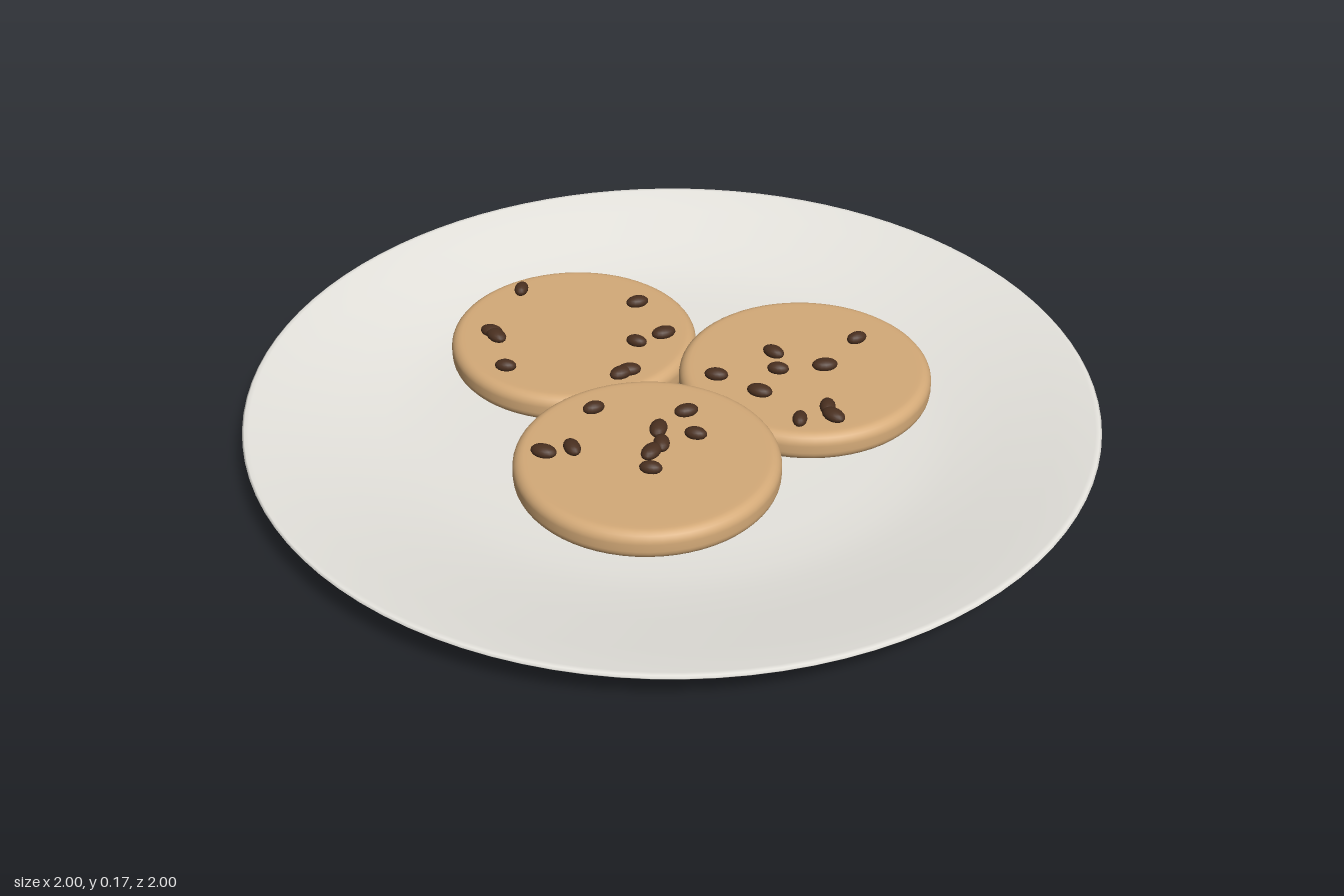
import * as THREE from 'three';

const mat = (name, color) => {
  const m = new THREE.MeshStandardMaterial({ color });
  m.name = name;
  return m;
};

export function createModel() {
  const group = new THREE.Group();
  const porcelain = mat('porcelain', 0xe8e6e0);
  const dough = mat('dough', 0xd4aa78);
  const chocolate = mat('chocolate', 0x4a3020);

  const add = (parent, name, geometry, material) => {
    const mesh = new THREE.Mesh(geometry, material);
    mesh.name = name;
    parent.add(mesh);
    return mesh;
  };
  const lathe = (points, segments) =>
    new THREE.LatheGeometry(points.map(([r, y]) => new THREE.Vector2(r, y)), segments);

  // Plate: underside outwards, round the thin lip, then back in across the top
  add(group, 'plate', lathe([
    [0, 0], [0.3, 0], [0.5, 0.002], [0.6, 0.007], [0.68, 0.018], [0.78, 0.039], [0.9, 0.065],
    [0.985, 0.083], [0.997, 0.087], [1, 0.091], [0.995, 0.095], [0.985, 0.095],
    [0.9, 0.079], [0.78, 0.054], [0.68, 0.036], [0.6, 0.026], [0.5, 0.022], [0.3, 0.02], [0, 0.02],
  ], 96), porcelain);

  // Cookie: disc with rounded upper and lower edges
  const R = 0.3, H = 0.035, F = 0.026;
  const profile = [[0, -H], [R - F - 0.01, -H]];
  for (const side of [-1, 1]) {
    for (let i = 0; i <= 6; i++) {
      const a = (side < 0 ? i - 6 : i) / 6 * Math.PI / 2;
      profile.push([R - F + F * Math.cos(a), side * (H - F) + F * Math.sin(a)]);
    }
  }
  profile.push([R - F - 0.01, H], [0, H]);
  const cookieGeometry = lathe(profile, 64);
  const chipGeometry = new THREE.SphereGeometry(1, 16, 10);

  // Chips are listed as x, z and turn
  const cookies = [
    { name: 'leftCookie', at: [-0.28, 0.068, -0.205], chips: [
      [-0.45, -0.365, 1.6], [-0.15, -0.355, 0.5], [-0.06, -0.225, 0.6],
      [-0.118, -0.176, -0.2], [-0.476, -0.16, -0.2], [-0.46, -0.142, -0.7],
      [-0.406, -0.016, 0], [-0.112, -0.05, 0.3], [-0.128, -0.034, 0.8]] },
    { name: 'rightCookie', at: [0.3, 0.088, -0.123], chips: [
      [0.41, -0.25, 0.7], [0.22, -0.155, -0.5], [0.347, -0.12, 0.3],
      [0.24, -0.085, 0], [0.1, -0.035, 0], [0.21, 0.015, -0.2],
      [0.316, 0.113, 1.6], [0.373, 0.053, 1.7], [0.39, 0.085, -0.6]] },
    { name: 'frontCookie', at: [0, 0.109, 0.32], chips: [
      [-0.15, 0.18, 0.6], [0.06, 0.155, 0.5], [0.01, 0.235, 1.57],
      [0.096, 0.24, -0.1], [0.027, 0.29, 1.8], [0.01, 0.325, 1.2],
      [0.02, 0.385, 0], [-0.166, 0.34, -1], [-0.225, 0.365, -0.2]] },
  ];
  for (const { name, at, chips } of cookies) {
    const cookie = new THREE.Group();
    cookie.name = name;
    cookie.position.set(...at);
    group.add(cookie);
    add(cookie, 'cookieDisc', cookieGeometry, dough);
    chips.forEach(([x, z, turn], i) => {
      const chip = add(cookie, 'chocolateChip', chipGeometry, chocolate);
      const size = 0.9 + (i % 3) * 0.08;
      chip.position.set(x - at[0], H + 0.008, z - at[2]);
      chip.rotation.y = turn;
      chip.scale.set(0.029 * size, 0.015, 0.019 * size);
    });
  }
  return group;
}
